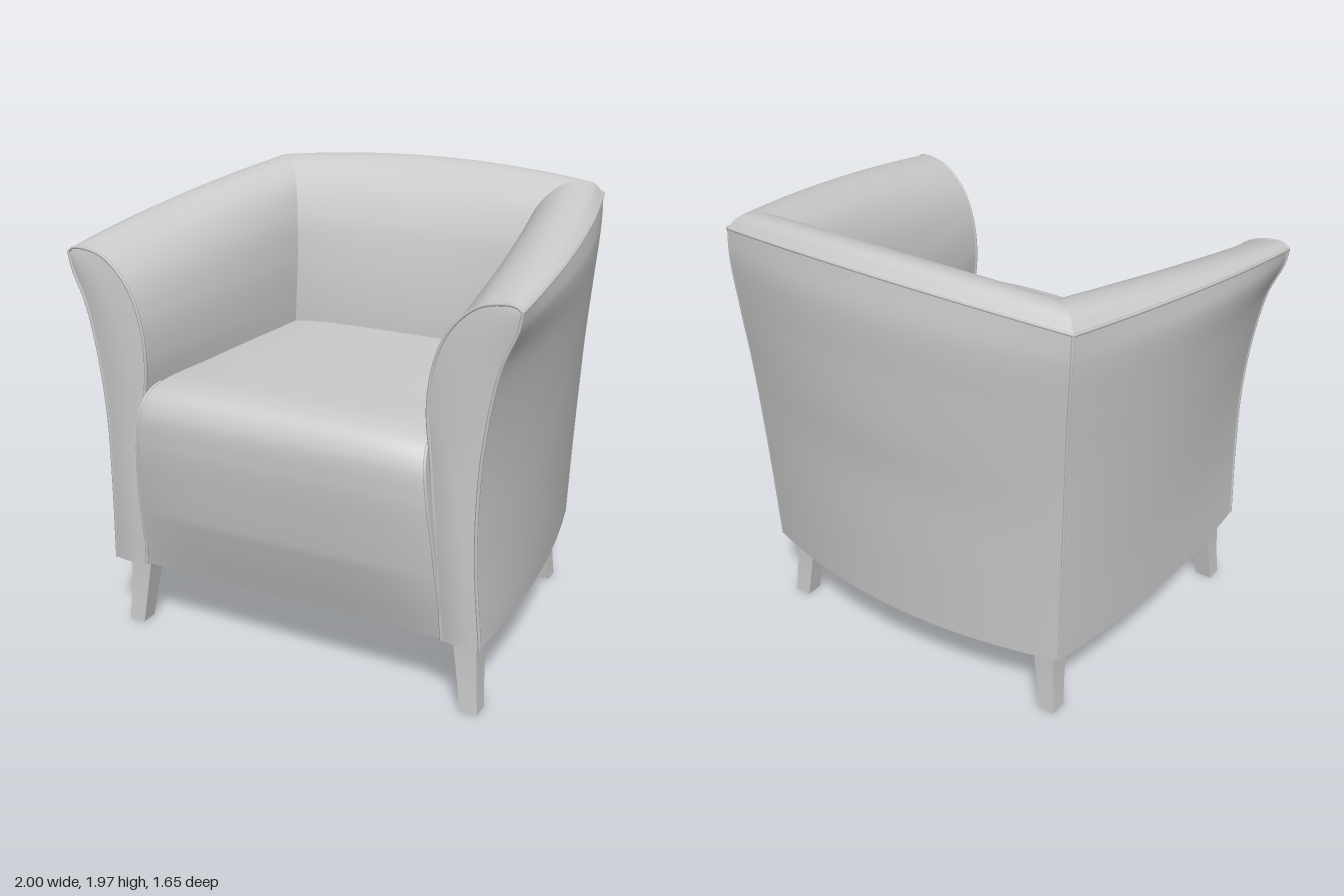
import * as THREE from 'three';
import { ParametricGeometry } from 'three/addons/geometries/ParametricGeometry.js';

const V = (x, y, z) => new THREE.Vector3(x, y, z);
const curve = (pts) => new THREE.CatmullRomCurve3(pts.map((p) => V(...p)));
const material = new THREE.MeshStandardMaterial({ color: 0xcccccc, side: THREE.DoubleSide });

// Section curves, each running from the bottom edge up to the piped top edge
const FRONT_Z = 0.735;
const atFront = ([x, y], i) => [x, y, i ? FRONT_Z : FRONT_Z - 0.015];
const front = {
  outer: curve([[0.872, 0.33], [0.85, 0.7], [0.85, 1.0], [0.872, 1.25], [0.92, 1.5],
    [0.98, 1.65], [0.993, 1.72]].map(atFront)),
  inner: curve([[0.71, 0.33], [0.685, 0.7], [0.655, 1.1], [0.638, 1.3], [0.66, 1.48],
    [0.72, 1.62], [0.82, 1.715], [0.91, 1.74], [0.97, 1.738], [0.993, 1.72]].map(atFront)),
};
const corner = {
  outer: curve([[0.77, 0.33, -0.64], [0.78, 0.7, -0.655], [0.79, 1.0, -0.67], [0.8, 1.25, -0.685],
    [0.815, 1.5, -0.705], [0.83, 1.75, -0.72], [0.83, 1.87, -0.715]]),
  inner: curve([[0.56, 0.33, -0.36], [0.55, 0.7, -0.355], [0.55, 1.1, -0.355], [0.545, 1.3, -0.36],
    [0.545, 1.5, -0.38], [0.565, 1.7, -0.42], [0.61, 1.84, -0.49], [0.7, 1.925, -0.6],
    [0.79, 1.92, -0.68], [0.83, 1.87, -0.715]]),
};
const centre = {
  outer: curve([[0, 0.33, -0.765], [0, 0.7, -0.78], [0, 1.0, -0.79], [0, 1.25, -0.81],
    [0, 1.5, -0.82], [0, 1.75, -0.825], [0, 1.91, -0.8]]),
  inner: curve([[0, 0.33, -0.345], [0, 0.7, -0.345], [0, 1.1, -0.345], [0, 1.3, -0.355],
    [0, 1.5, -0.385], [0, 1.7, -0.44], [0, 1.86, -0.53], [0, 1.955, -0.65],
    [0, 1.965, -0.74], [0, 1.91, -0.8]]),
};

// Arm surface: t runs front to corner, h bottom to top; the middle swells outwards
function armPoint(side, t, h) {
  const p = front[side].getPoint(h).lerp(corner[side].getPoint(h), t);
  const swell = 4 * t * (1 - t);
  p.x += swell * (side === 'outer' ? 0.05 + 0.035 * Math.sin(Math.PI * h) : 0.05 * h ** 3);
  p.y += swell * 0.015 * h ** 3;
  return p;
}

// Back surface: s runs -1 to 1 between the corners in a shallow bow
function backPoint(side, s, h) {
  const c = centre[side].getPoint(h), m = corner[side].getPoint(h);
  return V(s * m.x, c.y + (m.y - c.y) * s * s, c.z + (m.z - c.z) * s * s);
}

// Smooth patch from a point function; mirror = -1 builds the opposite side
function patch(group, name, fn, mirror = 1, n = 36) {
  const f = (u, v, target) => {
    target.copy(mirror > 0 ? fn(u, v) : fn(v, u));
    target.x *= mirror;
  };
  const mesh = new THREE.Mesh(new ParametricGeometry(f, n, n), material);
  mesh.name = name;
  group.add(mesh);
}

// Thin piping cord along a point function
function piping(group, name, fn, mirror = 1) {
  const pts = [];
  for (let i = 0; i <= 24; i++) {
    const p = fn(i / 24);
    pts.push(V(p.x * mirror, p.y, p.z));
  }
  const path = new THREE.CatmullRomCurve3(pts);
  const mesh = new THREE.Mesh(new THREE.TubeGeometry(path, 60, 0.007, 6), material);
  mesh.name = name;
  group.add(mesh);
}

function buildArm(m) {
  const arm = new THREE.Group();
  arm.name = m > 0 ? 'leftArm' : 'rightArm';
  patch(arm, 'armOuterPanel', (t, h) => armPoint('outer', t, h), m);
  patch(arm, 'armInnerPanel', (h, t) => armPoint('inner', t, h), m);
  patch(arm, 'armUnderside', (t, a) => armPoint('inner', t, 0).lerp(armPoint('outer', t, 0), a), m, 10);
  patch(arm, 'armFrontPanel', (a, h) => {
    const k = h * 0.995;
    const p = armPoint('inner', 0, k).lerp(armPoint('outer', 0, k), a);
    p.z += 0.012 * Math.sin(Math.PI * a) * (1 - h ** 4);
    return p;
  }, m);
  piping(arm, 'frontOuterPiping', (h) => armPoint('outer', 0, h), m);
  piping(arm, 'frontInnerPiping', (h) => armPoint('inner', 0, h), m);
  piping(arm, 'armTopPiping', (t) => armPoint('outer', t, 1), m);
  piping(arm, 'cornerSeam', (h) => corner.outer.getPoint(h).add(V(-0.004, 0, 0.004)), m);
  return arm;
}

function buildBack() {
  const back = new THREE.Group();
  back.name = 'back';
  patch(back, 'backOuterPanel', (h, x) => backPoint('outer', 2 * x - 1, h));
  patch(back, 'backInnerPanel', (x, h) => backPoint('inner', 2 * x - 1, h));
  patch(back, 'backUnderside', (x, a) =>
    backPoint('outer', 2 * x - 1, 0).lerp(backPoint('inner', 2 * x - 1, 0), a), 1, 16);
  piping(back, 'backTopPiping', (x) => backPoint('outer', 2 * x - 1, 1));
  return back;
}

// Seat: one padded sheet from the bottom front, over the rounded nose, to the back
function buildSeat() {
  const seat = new THREE.Group();
  seat.name = 'seat';
  // edge of the seat on one side: half width, height, depth
  const edge = curve([[0.71, 0.325, 0.7], [0.7, 0.5, 0.735], [0.685, 0.75, 0.772], [0.665, 0.95, 0.79],
    [0.65, 1.08, 0.78], [0.638, 1.15, 0.735], [0.63, 1.178, 0.65], [0.605, 1.183, 0.3], [0.55, 1.187, -0.38]]);
  patch(seat, 'seatCover', (x, v) => {
    const s = 2 * x - 1, p = edge.getPoint(v);
    const crown = (1 - s ** 4) * Math.min(1, (p.y - 0.32) / 0.3);
    return V(p.x * s, p.y + 0.02 * crown, p.z + (p.z > 0 ? 0.038 * crown * Math.min(1, p.z / 0.6) : 0));
  }, 1, 48);
  for (const m of [1, -1]) {
    patch(seat, 'seatSide', (a, v) => {
      const p = edge.getPoint(v * 0.75);
      p.z += (Math.min(p.z, 0.6) - p.z) * a;
      return p;
    }, m, 24);
    piping(seat, 'seatPiping', (v) => edge.getPoint(v * 0.75), m);
  }
  return seat;
}

// Square tapered leg, its outer faces kicking out at the foot
function buildLeg(name, x, z, sx, sz) {
  const box = new THREE.BoxGeometry(1, 1, 1, 1, 6, 1);
  const p = box.attributes.position;
  for (let i = 0; i < p.count; i++) {
    const t = 0.5 - p.getY(i);
    const outer = 0.018 * t * t, inner = -0.11 + 0.075 * t - 0.02 * t * (1 - t) - 0.025 * t * t;
    p.setXYZ(i, sx * (x + (p.getX(i) * sx > 0 ? outer : inner)), 0.34 * (1 - t),
      sz * (z + (p.getZ(i) * sz > 0 ? outer : inner)));
  }
  box.computeVertexNormals();
  const leg = new THREE.Mesh(box, material);
  leg.name = name;
  return leg;
}

export function createModel() {
  const chair = new THREE.Group();
  chair.name = 'armchair';
  chair.add(buildBack(), buildSeat());
  for (const m of [1, -1]) {
    chair.add(buildArm(m));
    chair.add(buildLeg('frontLeg', 0.838, 0.662, m, 1), buildLeg('backLeg', 0.718, 0.6, m, -1));
  }

  // Flat board closing the underside between the legs
  const outline = new THREE.Shape([[-0.76, -0.66], [0.76, -0.66], [0.7, 0.6], [-0.7, 0.6]]
    .map(([x, y]) => new THREE.Vector2(x, y)));
  const board = new THREE.Mesh(new THREE.ExtrudeGeometry(outline, { depth: 0.015, bevelEnabled: false }), material);
  board.name = 'bottomBoard';
  board.rotation.x = -Math.PI / 2;
  board.position.y = 0.318;
  chair.add(board);
  return chair;
}
